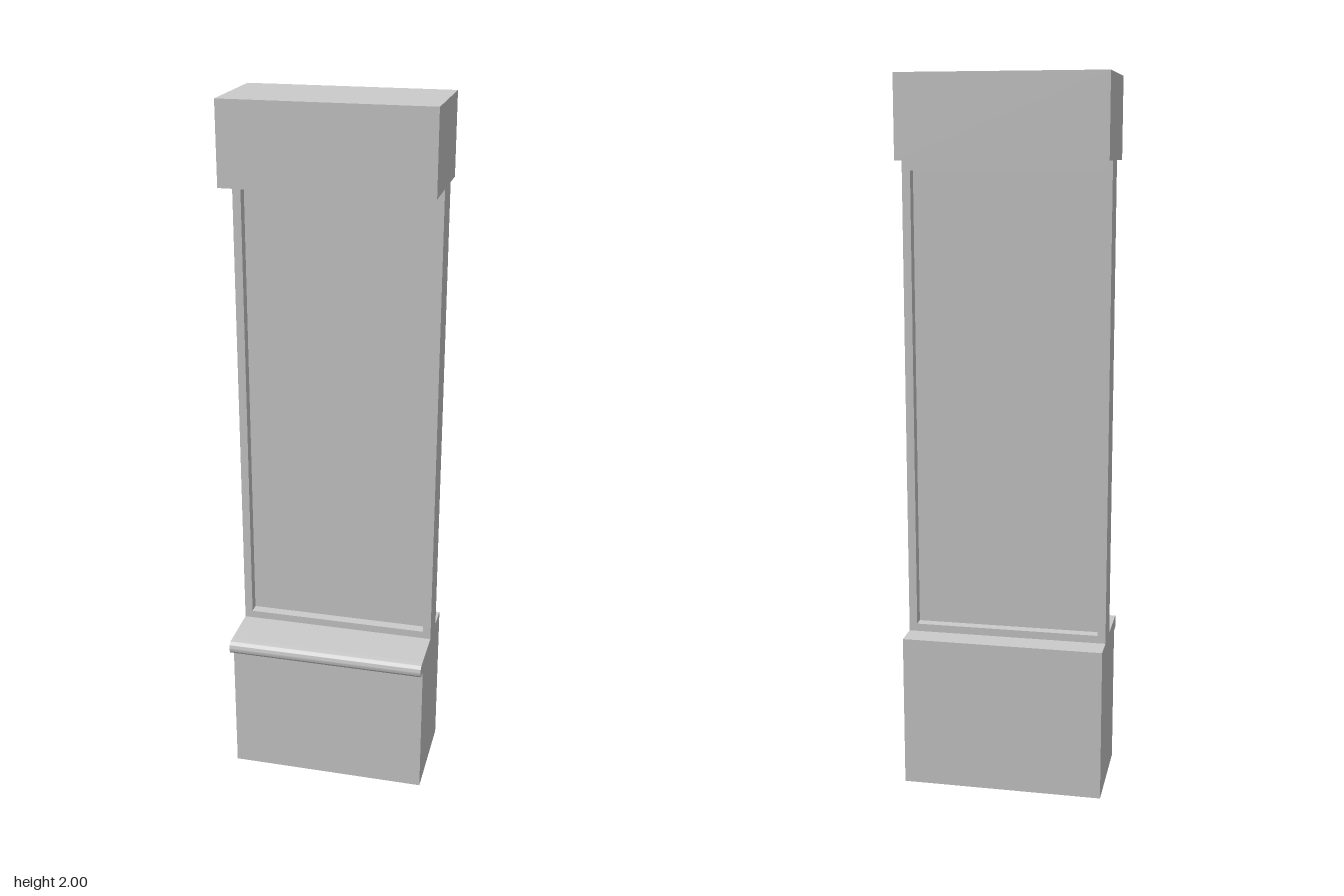
import * as THREE from 'three';
import { toCreasedNormals } from 'three/addons/utils/BufferGeometryUtils.js';

const W = 0.572;                        // full width of the wall section
const BACK = -0.163, FRONT = 0.123;     // wall faces
const SILL_Y = 0.438, HEAD_Y = 1.775;   // window opening in the wall

export function createModel() {
  const group = new THREE.Group();
  const material = new THREE.MeshStandardMaterial({ color: 0xcccccc });

  const add = (name, geometry) => {
    const mesh = new THREE.Mesh(geometry, material);
    mesh.name = name;
    group.add(mesh);
    return mesh;
  };
  const box = (name, w, y0, y1, z0, z1) =>
    add(name, new THREE.BoxGeometry(w, y1 - y0, z1 - z0))
      .position.set(0, (y0 + y1) / 2, (z0 + z1) / 2);

  // Wall below and above the window
  box('lowerWall', W, 0, SILL_Y, BACK, FRONT);
  box('upperWall', W, HEAD_Y, 2, BACK, FRONT);

  // Window board with rounded front edge, profile drawn in (z, y)
  const y0 = 0.4, z1 = 0.162, r = 0.016;
  const profile = new THREE.Shape();
  profile.moveTo(FRONT, y0);
  profile.lineTo(z1 - r, y0);
  profile.absarc(z1 - r, y0 + r, r, -Math.PI / 2, 0, false);
  profile.absarc(z1 - r, SILL_Y - r, r, 0, Math.PI / 2, false);
  profile.lineTo(FRONT, SILL_Y);
  profile.closePath();
  const board = new THREE.ExtrudeGeometry(profile, { depth: W, bevelEnabled: false, curveSegments: 8 });
  board.translate(0, 0, -W / 2).rotateY(-Math.PI / 2);
  add('windowBoard', toCreasedNormals(board, 0.6));

  // Window frame: rectangle with a rectangular hole
  const rect = (target, hw, bottom, top) => {
    target.moveTo(-hw, bottom);
    target.lineTo(hw, bottom);
    target.lineTo(hw, top);
    target.lineTo(-hw, top);
    target.closePath();
    return target;
  };
  const paneW = 0.263, paneBottom = 0.46, paneTop = 1.748;
  const frame = rect(new THREE.Shape(), W / 2, SILL_Y, HEAD_Y);
  frame.holes.push(rect(new THREE.Path(), paneW, paneBottom, paneTop));
  add('windowFrame', new THREE.ExtrudeGeometry(frame, { depth: 0.09, bevelEnabled: false }))
    .position.z = -0.09;

  // Glass pane set back inside the frame
  box('glassPane', paneW * 2, paneBottom, paneTop, -0.06, -0.03);

  return group;
}
